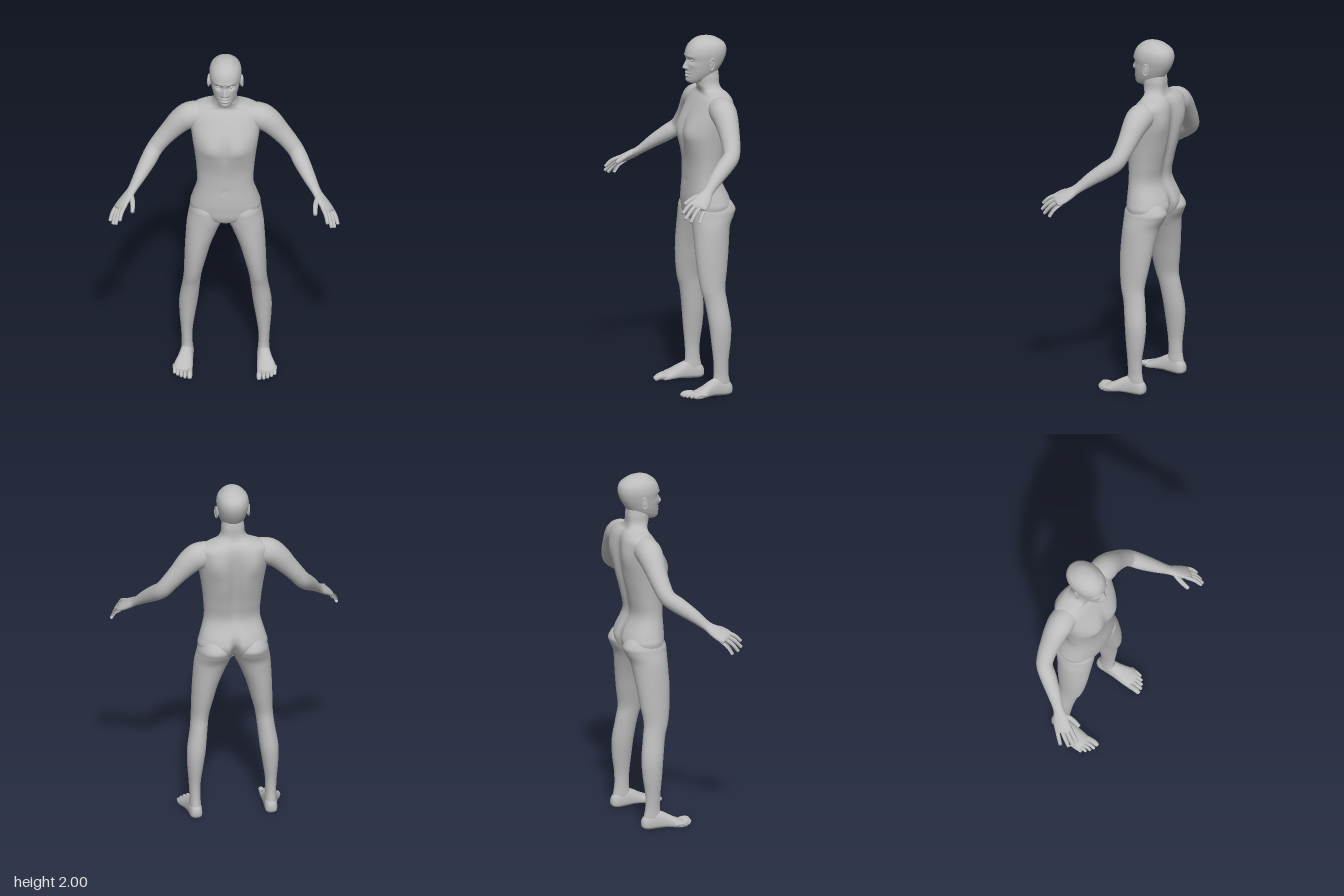
import * as THREE from 'three';

const skin = new THREE.MeshStandardMaterial({ color: 0xbcbcbc });
skin.name = 'skin';

const V = (x, y, z) => new THREE.Vector3(x, y, z);
const bell = (v, centre, width) => Math.exp(-(((v - centre) / width) ** 2));
const spow = (v, e) => Math.sign(v) * Math.abs(v) ** e;

// Smooth interpolation through a list of number rows, t in 0..1
function sample(rows, t) {
  const n = rows.length - 1, i = Math.min(Math.floor(t * n), n - 1), f = t * n - i;
  const [a, b, c, d] = [rows[Math.max(i - 1, 0)], rows[i], rows[i + 1], rows[Math.min(i + 2, n)]];
  return b.map((p, k) => {
    const m0 = (c[k] - a[k]) / 2, m1 = (d[k] - p) / 2;
    return p + f * m0 + f * f * (3 * (c[k] - p) - 2 * m0 - m1) + f ** 3 * (2 * (p - c[k]) + m0 + m1);
  });
}

// Closed skin from rings; point(t, angle) gives the surface. Faces are turned outward.
function skinMesh(name, point, rows, sides, side = 1) {
  const pos = [], idx = [];
  for (let j = 0; j <= rows; j++) for (let i = 0; i < sides; i++) {
    const p = point(j / rows, (i / sides) * Math.PI * 2);
    pos.push(p.x * side, p.y, p.z);
  }
  for (let j = 0; j < rows; j++) for (let i = 0; i < sides; i++) {
    const a = j * sides + i, b = j * sides + (i + 1) % sides;
    idx.push(a, b, a + sides, b, b + sides, a + sides);
  }
  const at = (i) => V(pos[3 * i], pos[3 * i + 1], pos[3 * i + 2]);
  let volume = 0;
  for (let i = 0; i < idx.length; i += 3) volume += at(idx[i]).dot(at(idx[i + 1]).cross(at(idx[i + 2])));
  if (volume < 0) idx.reverse();
  const g = new THREE.BufferGeometry();
  g.setAttribute('position', new THREE.Float32BufferAttribute(pos, 3));
  g.setIndex(idx);
  g.computeVertexNormals();
  const mesh = new THREE.Mesh(g, skin);
  mesh.name = name;
  return mesh;
}

// Level rings: rows of [y, centre x, half width, front z, back z]
function stack(name, rows, { steps = 60, sides = 48, e = 0.9, shape = (p) => p, side = 1 } = {}) {
  return skinMesh(name, (t, a) => {
    const [y, cx, w, zf, zb] = sample(rows, t);
    return shape(V(cx + w * spow(Math.cos(a), e), y, (zf + zb) / 2 + ((zf - zb) / 2) * spow(Math.sin(a), e)));
  }, steps, sides, side);
}

// Rings along a path: rows of [x, y, z, radius along the across axis, other radius]
function limb(name, rows, across, { steps = 40, sides = 24, side = 1 } = {}) {
  return skinMesh(name, (t, a) => {
    const [x, y, z, ra, rb] = sample(rows, t);
    const p0 = sample(rows, Math.max(t - 0.01, 0)), p1 = sample(rows, Math.min(t + 0.01, 1));
    const dir = V(p1[0] - p0[0], p1[1] - p0[1], p1[2] - p0[2]).normalize();
    const u = across.clone().addScaledVector(dir, -across.dot(dir)).normalize();
    const v = dir.clone().cross(u);
    return V(x, y, z).addScaledVector(u, ra * Math.cos(a)).addScaledVector(v, rb * Math.sin(a));
  }, steps, sides, side);
}

// Finger or toe: a tapered rounded rod through three points
function digit(name, a, b, c, r, across, side) {
  const tip = c.clone().sub(b).normalize();
  const q = c.clone().addScaledVector(tip, -r * 0.6);
  return limb(name, [[...a, r, r], [...b, r, r], [...q, r * 0.85, r * 0.8],
    [...c.clone().addScaledVector(tip, -r * 0.12), r * 0.5, r * 0.45], [...c, 0, 0]], across, { steps: 20, sides: 12, side });
}

// Chest, back and seat relief
function torsoShape(p) {
  const x = Math.abs(p.x), { y } = p, front = p.z > -0.1;
  if (front) {
    p.z += 0.012 * bell(x, 0.08, 0.05) * bell(y, 1.47, 0.06);
    p.z -= 0.01 * bell(x, 0, 0.02) * bell(y, 1.46, 0.1);
    p.z -= 0.006 * bell(x, 0, 0.01) * bell(y, 1.185, 0.012);
  } else {
    p.z += 0.025 * bell(x, 0, 0.035) * bell(y, 1.45, 0.24);
    p.z += 0.06 * bell(x, 0, 0.02) * bell(y, 1.01, 0.08);
    p.z -= 0.014 * bell(x, 0.11, 0.05) * bell(y, 1.56, 0.08);
  }
  return p;
}

// Brow, eye sockets, nose, lips and chin
function faceShape(p) {
  if (p.z < -0.09) return p;
  const x = Math.abs(p.x), { y } = p;
  let d = -0.014 * bell(x, 0.033, 0.018) * bell(y, 1.872, 0.013);
  d += 0.005 * bell(x, 0.03, 0.025) * bell(y, 1.895, 0.01);
  d += 0.024 * bell(x, 0, 0.011) * bell(y, 1.828, y > 1.828 ? 0.03 : 0.009);
  d += 0.01 * bell(x, 0.014, 0.007) * bell(y, 1.826, 0.008);
  d += 0.008 * bell(x, 0, 0.022) * (bell(y, 1.799, 0.006) + bell(y, 1.782, 0.007));
  d -= 0.005 * bell(x, 0, 0.026) * bell(y, 1.791, 0.003);
  d += 0.005 * bell(x, 0, 0.02) * bell(y, 1.757, 0.012);
  d += 0.004 * bell(x, 0.05, 0.018) * bell(y, 1.845, 0.015);
  p.z += d;
  return p;
}

function arm(side) {
  const g = new THREE.Group();
  g.name = side > 0 ? 'leftArm' : 'rightArm';
  const across = V(-0.64, 0.43, 0.64);
  g.add(limb('armAndPalm', [
    [0.08, 1.615, -0.145, 0, 0], [0.12, 1.615, -0.145, 0.06, 0.06], [0.19, 1.605, -0.143, 0.074, 0.074],
    [0.245, 1.57, -0.142, 0.068, 0.068], [0.3, 1.51, -0.138, 0.058, 0.056], [0.35, 1.45, -0.13, 0.051, 0.049],
    [0.392, 1.395, -0.112, 0.046, 0.046], [0.425, 1.352, -0.06, 0.046, 0.044], [0.465, 1.302, 0.005, 0.039, 0.035],
    [0.508, 1.247, 0.068, 0.03, 0.023], [0.535, 1.22, 0.103, 0.041, 0.021], [0.562, 1.197, 0.135, 0.047, 0.018],
    [0.58, 1.182, 0.16, 0.043, 0.013], [0.588, 1.176, 0.168, 0, 0]], across, { steps: 72, sides: 32, side }));
  // Fingers spread from the knuckle line
  const tips = { index: [0.036, 0.575, 1.15, 0.25], middle: [0.012, 0.597, 1.122, 0.243],
    ring: [-0.012, 0.613, 1.106, 0.218], little: [-0.036, 0.631, 1.1, 0.175] };
  for (const [name, [t, ...tip]] of Object.entries(tips)) {
    const root = V(0.566, 1.192, 0.142).addScaledVector(across, t), end = V(...tip);
    const mid = root.clone().lerp(end, 0.5).add(V(0.005, 0.007, 0.004));
    g.add(digit(name + 'Finger', root, mid, end, 0.0115, across, side));
  }
  g.add(digit('thumb', V(0.52, 1.235, 0.09), V(0.506, 1.217, 0.152), V(0.505, 1.183, 0.212), 0.014, V(0, 1, 0.2), side));
  return g;
}

function leg(side) {
  const g = new THREE.Group();
  g.name = side > 0 ? 'leftLeg' : 'rightLeg';
  g.add(stack('legColumn', [
    [1.13, 0.1, 0, -0.1, -0.12], [1.1, 0.1, 0.06, -0.04, -0.2], [1.04, 0.1, 0.092, -0.005, -0.248],
    [1.0, 0.102, 0.099, 0, -0.24], [0.95, 0.112, 0.099, 0, -0.214], [0.9, 0.126, 0.09, 0, -0.203],
    [0.8, 0.149, 0.073, 0, -0.19], [0.7, 0.165, 0.061, -0.006, -0.176], [0.6, 0.179, 0.05, -0.02, -0.161],
    [0.52, 0.188, 0.049, -0.042, -0.17], [0.4, 0.203, 0.052, -0.06, -0.185], [0.3, 0.21, 0.044, -0.07, -0.181],
    [0.2, 0.213, 0.033, -0.08, -0.168], [0.12, 0.212, 0.03, -0.083, -0.168], [0.06, 0.211, 0.032, -0.075, -0.178],
    [0.02, 0.211, 0.02, -0.1, -0.17]], { steps: 90, sides: 40, e: 1, side }));
  // Foot: upright rings from heel to ball, rows of [z, centre x, half width, top, bottom]
  const foot = [[-0.192, 0.21, 0, 0.035, 0.03], [-0.185, 0.21, 0.022, 0.06, 0.01], [-0.16, 0.21, 0.034, 0.085, 0],
    [-0.11, 0.213, 0.037, 0.105, 0], [-0.06, 0.22, 0.043, 0.088, 0.004], [-0.01, 0.23, 0.053, 0.06, 0.003],
    [0.03, 0.232, 0.053, 0.042, 0], [0.055, 0.226, 0.044, 0.028, 0.004], [0.065, 0.222, 0, 0.016, 0.014]];
  g.add(skinMesh('foot', (t, a) => {
    const [z, cx, w, top, base] = sample(foot, t);
    const s = Math.sin(a), mid = base + (top - base) * 0.35;
    return V(cx + w * spow(Math.cos(a), 0.85), mid + (s > 0 ? s * (top - mid) : spow(s, 0.6) * (mid - base)), z);
  }, 40, 32, side));
  // Toes, big toe on the inner side
  [[0.192, 0.108, 0.015], [0.218, 0.104, 0.0105], [0.239, 0.093, 0.01], [0.259, 0.077, 0.01], [0.277, 0.056, 0.01]]
    .forEach(([x, z, r], i) => g.add(digit('toe' + (i + 1), V(x + 0.002, 0.022, z - 0.07),
      V(x, 0.024, z - 0.03), V(x, 0.012, z), r, V(1, 0, 0), side)));
  return g;
}

function head() {
  const g = new THREE.Group();
  g.name = 'head';
  g.add(stack('skullAndFace', [
    [1.738, 0, 0, -0.04, -0.06], [1.742, 0, 0.028, -0.016, -0.085], [1.757, 0, 0.045, -0.006, -0.135],
    [1.785, 0, 0.061, -0.005, -0.17], [1.82, 0, 0.073, -0.004, -0.198], [1.865, 0, 0.083, -0.004, -0.224],
    [1.91, 0, 0.089, -0.001, -0.236], [1.95, 0, 0.081, -0.016, -0.227], [1.98, 0, 0.056, -0.046, -0.19],
    [1.994, 0, 0.032, -0.075, -0.155], [2.0, 0, 0, -0.11, -0.112]], { steps: 130, sides: 120, e: 0.95, shape: faceShape }));
  for (const side of [1, -1]) {
    const eye = new THREE.Mesh(new THREE.SphereGeometry(0.013, 20, 14), skin);
    eye.name = 'eye';
    eye.scale.set(1.15, 0.6, 0.8);
    eye.position.set(side * 0.033, 1.872, -0.026);
    const ear = new THREE.Group();
    ear.name = 'ear';
    const shell = new THREE.Mesh(new THREE.SphereGeometry(1, 20, 16), skin);
    shell.name = 'earShell';
    shell.scale.set(0.009, 0.032, 0.018);
    const rim = new THREE.Mesh(new THREE.TorusGeometry(0.017, 0.0045, 8, 28), skin);
    rim.name = 'earRim';
    rim.rotation.y = Math.PI / 2;
    rim.scale.set(0.95, 1.8, 1);
    rim.position.x = side * 0.005;
    ear.add(shell, rim);
    ear.position.set(side * 0.087, 1.852, -0.118);
    ear.rotation.set(-0.12, side * 0.3, 0);
    g.add(eye, ear);
  }
  return g;
}

export function createModel() {
  const model = new THREE.Group();
  model.name = 'humanFigure';
  model.add(stack('torsoAndNeck', [
    [0.945, 0, 0, -0.08, -0.12], [0.965, 0, 0.07, -0.02, -0.17], [1.0, 0, 0.17, 0, -0.215],
    [1.05, 0, 0.194, 0.005, -0.24], [1.1, 0, 0.183, 0.006, -0.23], [1.2, 0, 0.157, 0.001, -0.187],
    [1.3, 0, 0.16, 0.003, -0.202], [1.4, 0, 0.171, 0.02, -0.228], [1.46, 0, 0.18, 0.024, -0.24],
    [1.53, 0, 0.19, 0.006, -0.248], [1.6, 0, 0.2, -0.03, -0.248], [1.65, 0, 0.2, -0.06, -0.24],
    [1.68, 0, 0.155, -0.08, -0.224], [1.7, 0, 0.092, -0.078, -0.205], [1.73, 0, 0.067, -0.066, -0.195],
    [1.78, 0, 0.062, -0.06, -0.192], [1.82, 0, 0.05, -0.07, -0.18], [1.84, 0, 0, -0.11, -0.13]],
  { steps: 130, sides: 96, e: 0.88, shape: torsoShape }));
  model.add(head());
  for (const side of [1, -1]) model.add(arm(side), leg(side));
  return model;
}
